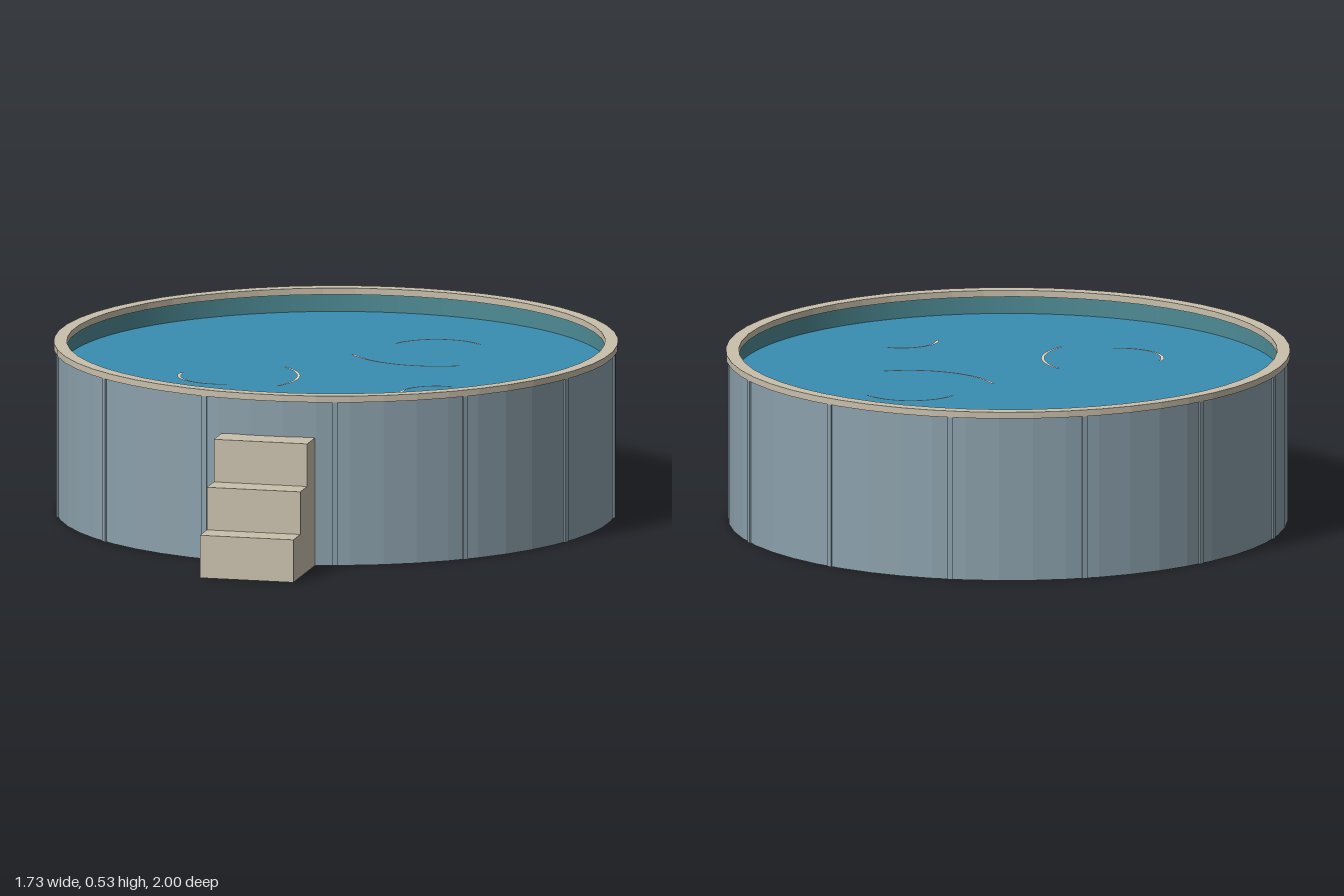
import * as THREE from 'three';

const CENTER_Z = -0.135, PANELS = 13, STEP_ANGLE = THREE.MathUtils.degToRad(-10);
const WALL_R = 0.858, WALL_H = 0.51, WATER_Y = 0.455;

function paint(name, color, side = THREE.FrontSide) {
  const m = new THREE.MeshStandardMaterial({ color, side });
  m.name = name;
  return m;
}

function faceted(geometry) {
  const g = geometry.toNonIndexed();
  g.computeVertexNormals();
  return g;
}

// Centre, radius and angles of the circular arc through three points
function arcThrough([ax, ay], [bx, by], [cx, cy]) {
  const d = 2 * (ax * (by - cy) + bx * (cy - ay) + cx * (ay - by));
  const a = ax * ax + ay * ay, b = bx * bx + by * by, c = cx * cx + cy * cy;
  const x = (a * (by - cy) + b * (cy - ay) + c * (ay - by)) / d;
  const y = (a * (cx - bx) + b * (ax - cx) + c * (bx - ax)) / d;
  const start = Math.atan2(ay - y, ax - x);
  let sweep = Math.atan2(cy - y, cx - x) - start;
  sweep = Math.atan2(Math.sin(sweep), Math.cos(sweep));
  return { x, y, r: Math.hypot(ax - x, ay - y), start: Math.min(start, start + sweep), sweep: Math.abs(sweep) };
}

export function createModel() {
  const model = new THREE.Group();
  model.name = 'roundPool';
  const wallPaint = paint('blue grey wall', 0x8ba0ab, THREE.DoubleSide);
  const linerPaint = paint('teal liner', 0x4d8a94, THREE.DoubleSide);
  const waterPaint = paint('blue water', 0x388eb2);
  const stonePaint = paint('beige trim', 0xc9bfab);
  const ripplePaint = paint('pale ripple', 0xddd5c6);

  const pool = new THREE.Group();
  pool.name = 'pool';
  pool.position.z = CENTER_Z;
  model.add(pool);
  const add = (parent, name, geometry, material, x = 0, y = 0, z = 0) => {
    const mesh = new THREE.Mesh(geometry, material);
    mesh.name = name;
    mesh.position.set(x, y, z);
    parent.add(mesh);
    return mesh;
  };

  // Outer wall of flat facets
  const wall = new THREE.CylinderGeometry(WALL_R, WALL_R, WALL_H, PANELS * 4, 1, true);
  add(pool, 'wall', faceted(wall), wallPaint, 0, WALL_H / 2);

  // Narrow upright at every panel joint; the steps sit midway between two
  for (let i = 0; i < PANELS; i++) {
    const upright = new THREE.Group();
    upright.name = 'upright';
    upright.rotation.y = STEP_ANGLE + (i + 0.5) * Math.PI * 2 / PANELS;
    add(upright, 'uprightStrip', new THREE.BoxGeometry(0.016, WALL_H, 0.014), wallPaint, 0, WALL_H / 2, WALL_R - 0.003);
    pool.add(upright);
  }

  // Flat rim around the top
  const profile = [[0.825, 0.51], [0.865, 0.51], [0.865, 0.53], [0.825, 0.53], [0.825, 0.51]];
  const rim = new THREE.LatheGeometry(profile.map(([r, y]) => new THREE.Vector2(r, y)), PANELS * 4);
  add(pool, 'rim', faceted(rim), stonePaint);

  // Liner, raised floor and water surface
  add(pool, 'liner', new THREE.CylinderGeometry(0.836, 0.836, 0.48, 96, 1, true), linerPaint, 0, 0.27);
  add(pool, 'floor', new THREE.CircleGeometry(0.836, 96), linerPaint, 0, 0.03).rotation.x = Math.PI / 2;
  add(pool, 'water', new THREE.CircleGeometry(0.835, 96), waterPaint, 0, WATER_Y).rotation.x = -Math.PI / 2;

  // Curved ripples, each given by start, middle and end as x, z
  const ripples = [
    [[0.16, -0.46], [0.29, -0.535], [0.42, -0.46]],
    [[0.04, -0.29], [0.18, -0.14], [0.38, -0.128]],
    [[-0.153, 0.074], [-0.1, -0.075], [-0.153, -0.226]].map(([x, z]) => [x, -z]),
    [[-0.46, 0.037], [-0.427, 0.172], [-0.31, 0.21]],
    [[0.23, 0.305], [0.27, 0.217], [0.38, 0.2]],
  ];
  for (const points of ripples) {
    const arc = arcThrough(...points.map(([x, z]) => [x, -z]));
    const band = new THREE.RingGeometry(arc.r - 0.005, arc.r + 0.005, 24, 1, arc.start, arc.sweep);
    add(model, 'ripple', band, ripplePaint, arc.x, WATER_Y + 0.004, -arc.y).rotation.x = -Math.PI / 2;
  }

  // Hollow steps: risers and treads between two stepped side panels
  const steps = new THREE.Group();
  steps.name = 'steps';
  steps.rotation.y = STEP_ANGLE;
  pool.add(steps);
  const width = 0.295, rise = 0.133, run = 0.087, front = 1.122, back = 0.85, t = 0.008;
  const outline = [[back, 0], [front, 0]];
  for (let i = 0; i < 3; i++) {
    const z = front - i * run, end = i < 2 ? z - run : back, top = (i + 1) * rise;
    outline.push([z, top], [end, top]);
    add(steps, 'riser', new THREE.BoxGeometry(width, rise, t), stonePaint, 0, top - rise / 2, z - t / 2);
    add(steps, 'tread', new THREE.BoxGeometry(width, t, z - end), stonePaint, 0, top - t / 2, (z + end) / 2);
  }
  const sideShape = new THREE.Shape(outline.map(([z, y]) => new THREE.Vector2(-z, y)));
  for (const x of [-width / 2, width / 2 - t]) {
    const panel = new THREE.ExtrudeGeometry(sideShape, { depth: t, bevelEnabled: false });
    panel.rotateY(Math.PI / 2);
    add(steps, 'stepSide', panel, stonePaint, x);
  }
  return model;
}
